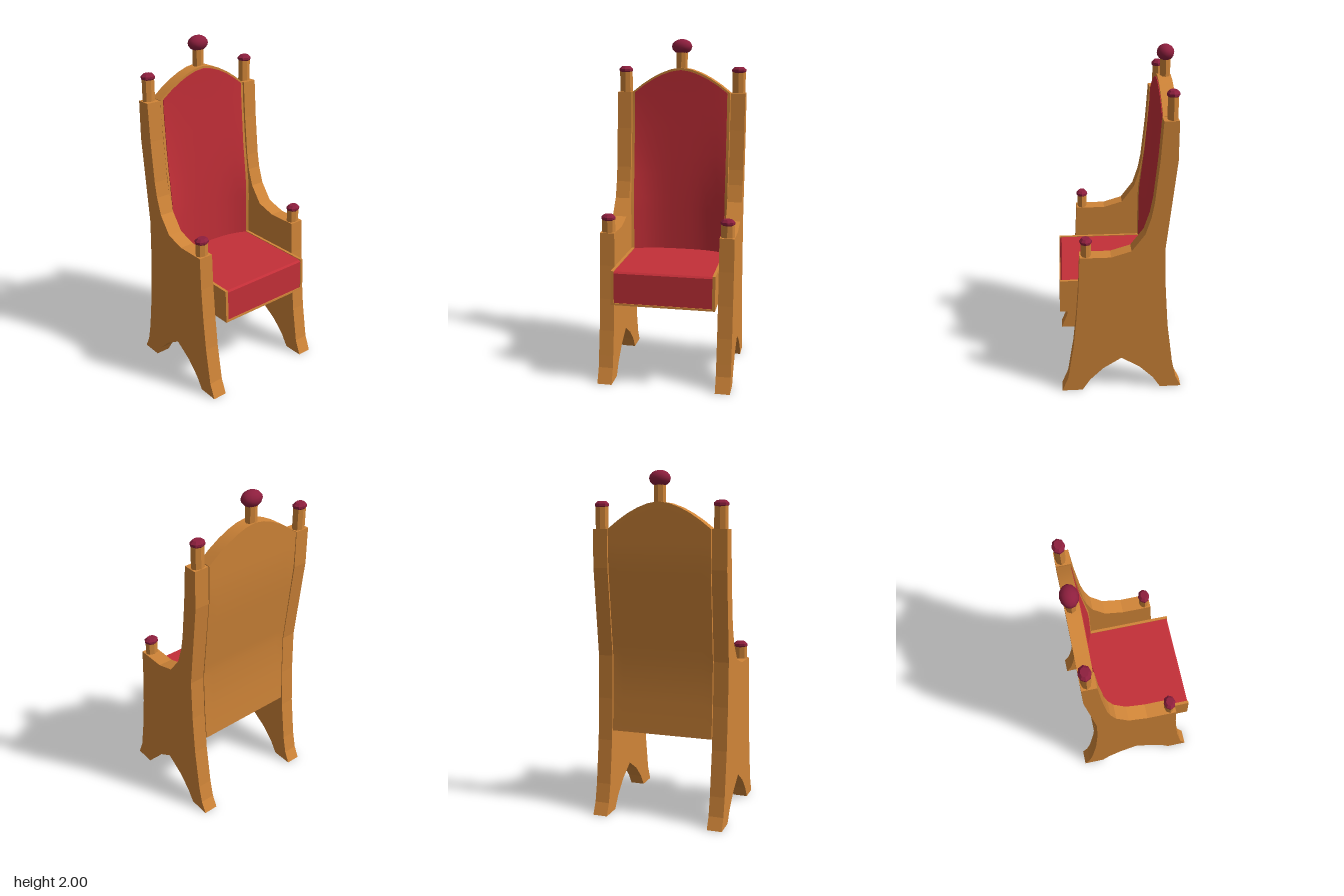
import * as THREE from 'three';
import { toCreasedNormals } from 'three/addons/utils/BufferGeometryUtils.js';

const wood = new THREE.MeshStandardMaterial({ color: 0xd08538 });
wood.name = 'wood';
const fabric = new THREE.MeshStandardMaterial({ color: 0xc42f38 });
fabric.name = 'red fabric';
const knobRed = new THREE.MeshStandardMaterial({ color: 0x8e1f3e });
knobRed.name = 'dark red knob';

// Side outline in x and y, extruded along z between z0 and z1
function plank(points, z0, z1) {
  const shape = new THREE.Shape(points.map(([x, y]) => new THREE.Vector2(x, y)));
  const geo = new THREE.ExtrudeGeometry(shape, { depth: z1 - z0, bevelEnabled: false });
  return geo.translate(0, 0, z0);
}

// Height, rear x, front x in the middle, front x at the side edges
const backRows = [
  [0.5, -0.264, -0.215, -0.155],
  [0.69, -0.253, -0.215, -0.155],
  [0.945, -0.246, -0.215, -0.155],
  [1.03, -0.255, -0.215, -0.158],
  [1.18, -0.271, -0.216, -0.178],
  [1.3, -0.283, -0.218, -0.195],
  [1.46, -0.3, -0.221, -0.21],
  [1.6, -0.302, -0.224, -0.222],
  [1.83, -0.302, -0.225, -0.225],
];

// Curved slab with an arched top, hollowed across its front face
function backSlab(rows, half, drop, push, thickness) {
  const n = 11;
  const pos = [];
  const index = [];
  rows.forEach(([y, rear, mid, edge], r) => {
    const loop = [];
    for (let i = 0; i < n; i++) {
      const z = -half + (2 * half * i) / (n - 1);
      const k = Math.abs(z) / 0.303;
      const top = 1.83 - drop - 0.15 * k ** 1.7;
      const h = r === rows.length - 1 ? top : y;
      const x = mid + (edge - mid) * k ** 3 + push;
      loop[i] = [x, h, z];
      loop[2 * n - 1 - i] = [thickness ? x - thickness : rear, h, z];
    }
    pos.push(...loop.flat());
  });
  const m = 2 * n;
  const quad = (a, b, c, d) => index.push(a, b, c, a, c, d);
  for (let r = 0; r < rows.length - 1; r++) {
    for (let i = 0; i < m; i++) {
      const j = (i + 1) % m;
      quad(r * m + i, (r + 1) * m + i, (r + 1) * m + j, r * m + j);
    }
  }
  const t = (rows.length - 1) * m;
  for (let i = 0; i < n - 1; i++) {
    const a = m - 1 - i;
    quad(t + i, t + a, t + a - 1, t + i + 1);
    quad(i, i + 1, a - 1, a);
  }
  const geo = new THREE.BufferGeometry();
  geo.setAttribute('position', new THREE.Float32BufferAttribute(pos, 3));
  geo.setIndex(index);
  return toCreasedNormals(geo, 0.5);
}

export function createModel() {
  const model = new THREE.Group();
  function add(name, geo, material, x = 0, y = 0, z = 0) {
    const mesh = new THREE.Mesh(geo, material);
    mesh.name = name;
    mesh.position.set(x, y, z);
    model.add(mesh);
    return mesh;
  }

  // Side panels: arched feet, armrest and rising back stile
  const side = [
    [-0.362, 0], [-0.235, 0], [-0.19, 0.07], [-0.11, 0.15], [0, 0.22],
    [0.11, 0.15], [0.19, 0.07], [0.235, 0], [0.357, 0], [0.32, 0.09],
    [0.308, 0.16], [0.283, 0.31], [0.262, 0.5], [0.246, 0.7], [0.237, 0.895],
    [0.06, 0.895], [-0.055, 0.93], [-0.13, 1.03], [-0.163, 1.13], [-0.18, 1.22],
    [-0.205, 1.46], [-0.22, 1.68], [-0.302, 1.68], [-0.302, 1.46], [-0.246, 0.945],
    [-0.253, 0.69], [-0.27, 0.44], [-0.304, 0.18], [-0.328, 0.07],
  ];
  add('leftSidePanel', plank(side, -0.395, -0.308), wood);
  add('rightSidePanel', plank(side, 0.308, 0.395), wood);

  // Backrest and its padding
  add('backrest', backSlab(backRows, 0.303, 0, 0, 0), wood);
  add('backPadding', backSlab(backRows.slice(1), 0.286, 0.014, 0.004, 0.008), fabric);

  // Seat: wooden tray around a cushion
  const rim = [[-0.25, 0.5], [0.358, 0.5], [0.351, 0.702], [-0.25, 0.702]];
  add('seatRimLeft', plank(rim, -0.303, -0.286), wood);
  add('seatRimRight', plank(rim, 0.286, 0.303), wood);
  add('seatBase', plank([[-0.25, 0.5], [0.358, 0.5], [0.357, 0.512], [-0.25, 0.512]], -0.286, 0.286), wood);
  const cushion = [[-0.24, 0.512], [0.353, 0.512], [0.348, 0.688], [0.338, 0.698], [-0.24, 0.698]];
  add('seatCushion', plank(cushion, -0.286, 0.286), fabric);

  // Posts with faceted knobs on the stiles and armrests
  const post = toCreasedNormals(new THREE.CylinderGeometry(1, 1, 1, 8), 0.3);
  const profile = [[0, 0], [0.8, 0], [1, 0.25], [1, 0.6], [0.62, 1], [0, 1]];
  const knob = toCreasedNormals(
    new THREE.LatheGeometry(profile.map(([x, y]) => new THREE.Vector2(x, y)), 8), 0.3);
  for (const z of [-0.351, 0.351]) {
    for (const [label, x, y, h] of [['back', -0.27, 1.67, 0.135], ['arm', 0.2, 0.885, 0.085]]) {
      add(label + 'Post', post, wood, x, y + h / 2, z).scale.set(0.029, h, 0.04);
      add(label + 'Knob', knob, knobRed, x, y + h - 0.006, z).scale.set(0.035, 0.036, 0.043);
    }
  }

  // Crowning post and ball
  add('crownPost', post, wood, -0.27, 1.86, 0).scale.set(0.029, 0.12, 0.035);
  add('crownBall', new THREE.SphereGeometry(1, 12, 8), knobRed, -0.27, 1.955, 0).scale.set(0.049, 0.045, 0.063);

  return model;
}
